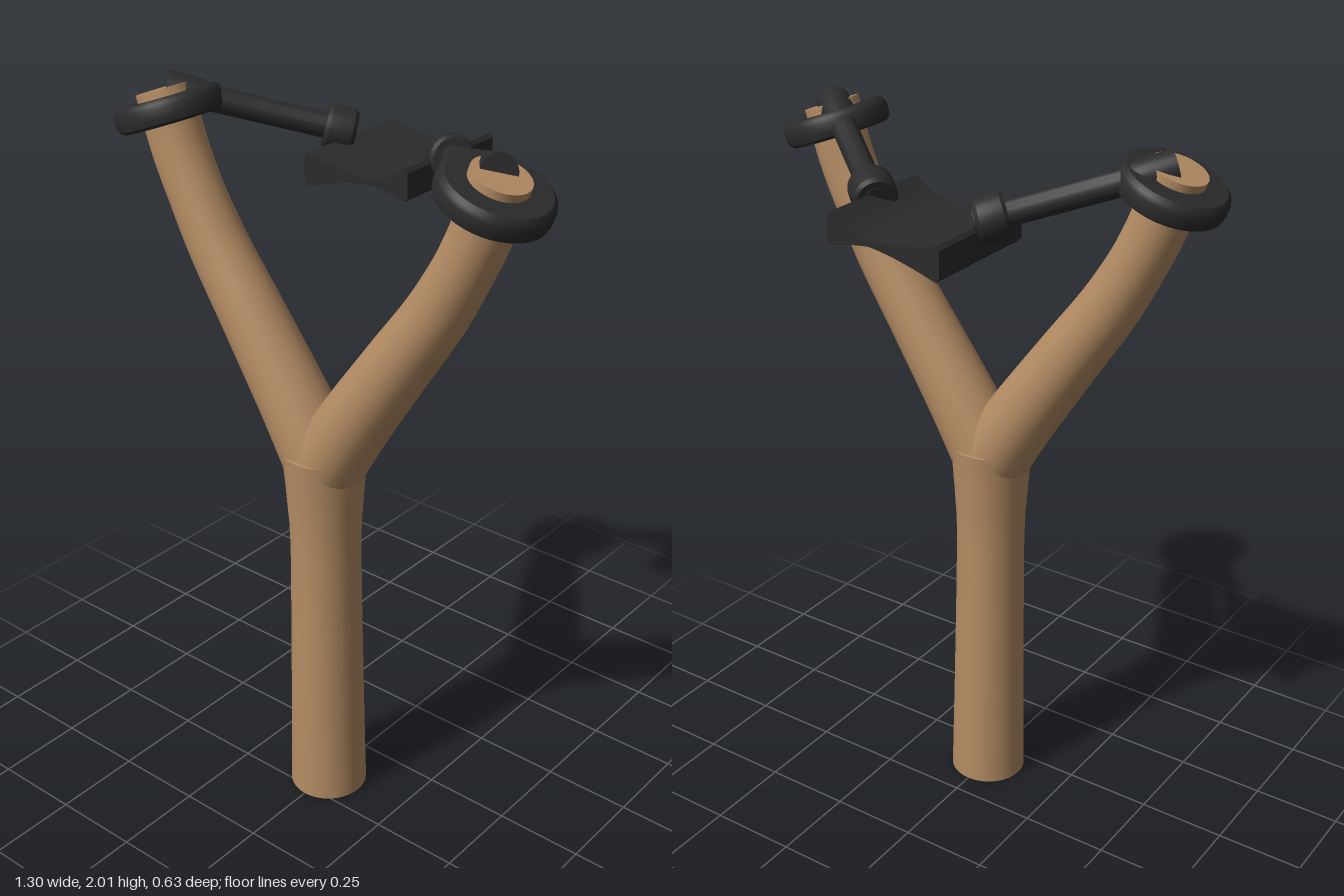
import * as THREE from 'three';
import { toCreasedNormals } from 'three/addons/utils/BufferGeometryUtils.js';

const wood = new THREE.MeshStandardMaterial({ color: 0xb48c64 });
const rubber = new THREE.MeshStandardMaterial({ color: 0x2b2b2b });
const Z = 0.17; // depth of the wooden fork
const V = (x, y, z) => new THREE.Vector3(x, y, z);

function mesh(name, geometry, material) {
  const m = new THREE.Mesh(geometry, material);
  m.name = name;
  return m;
}

// Turned part with crisp rims, from [radius, height] pairs
function turned(profile, segments = 40) {
  const g = new THREE.LatheGeometry(profile.map(([r, y]) => new THREE.Vector2(r, y)), segments);
  return toCreasedNormals(g, 0.6);
}

// Point a part's y axis along a direction
function aim(m, position, direction) {
  m.position.copy(position);
  m.quaternion.setFromUnitVectors(V(0, 1, 0), direction.clone().normalize());
  return m;
}

// Curved fork arm: a tube whose rings shrink towards the tip
function armGeometry(curve) {
  const rows = 40, sides = 32;
  const g = new THREE.TubeGeometry(curve, rows, 1, sides, false);
  const p = g.attributes.position, v = new THREE.Vector3();
  for (let i = 0; i <= rows; i++) {
    const t = i / rows, c = curve.getPointAt(t);
    const r = THREE.MathUtils.lerp(0.104, 0.075, Math.min(1, t / 0.75));
    for (let j = 0; j <= sides; j++) {
      const k = i * (sides + 1) + j;
      v.fromBufferAttribute(p, k).sub(c).multiplyScalar(r).add(c);
      p.setXYZ(k, v.x, v.y, v.z);
    }
  }
  return g;
}

// One arm with its collar, band and cuffs; s is +1 for left, -1 for right
function side(s) {
  const group = new THREE.Group();
  group.name = s > 0 ? 'leftSide' : 'rightSide';

  const points = [[0, 1.04], [0.1, 1.2], [0.235, 1.4], [0.37, 1.6], [0.472, 1.8], [0.522, 1.95]];
  const curve = new THREE.CatmullRomCurve3(points.map(([x, y]) => V(s * x, y, Z)));
  const up = V(s * 0.35, 0.937, 0);
  group.add(mesh('arm', armGeometry(curve), wood));

  // Wooden tip showing through the collar
  const tip = turned([[0, -0.05], [0.075, -0.05], [0.075, 0.012], [0, 0.012]]);
  group.add(aim(mesh('armTip', tip, wood), V(s * 0.522, 1.95, Z), up));

  // Thick rubber ring around the tip
  const collar = turned([
    [0.07, -0.033], [0.13, -0.033], [0.14, -0.026], [0.144, -0.012], [0.144, 0.012],
    [0.14, 0.024], [0.13, 0.033], [0.07, 0.033], [0.07, -0.033],
  ]);
  group.add(aim(mesh('collar', collar, rubber), V(s * 0.51, 1.91, Z), up));

  // Elastic band, flared where it is tied to the tip
  const start = V(s * 0.518, 1.963, 0.168), end = V(s * 0.145, 1.843, -0.14);
  const along = end.clone().sub(start), len = along.length();
  const band = turned([
    [0, 0], [0.046, 0], [0.046, 0.05], [0.042, 0.09], [0.034, 0.13], [0.033, len], [0, len],
  ], 24);
  group.add(aim(mesh('band', band, rubber), start, along));

  // Cuff joining band and pouch
  const cuff = turned([
    [0, -0.04], [0.05, -0.04], [0.058, -0.03], [0.06, 0], [0.058, 0.03], [0.05, 0.04], [0, 0.04],
  ], 24);
  group.add(aim(mesh('cuff', cuff, rubber), start.clone().lerp(end, 0.915), along));
  return group;
}

export function createModel() {
  const model = new THREE.Group();
  model.name = 'slingshot';

  // Handle, waisted and flaring to the fork
  const handle = mesh('handle', turned([
    [0, 0], [0.109, 0], [0.104, 0.25], [0.099, 0.55], [0.096, 0.8], [0.098, 0.87],
    [0.106, 0.99], [0.114, 1.09], [0, 1.09],
  ], 48), wood);
  handle.position.z = Z;
  model.add(handle, side(1), side(-1));

  // Pouch: pinched in the middle, thicker at both ends
  const outline = new THREE.Shape();
  outline.moveTo(-0.165, 1.755);
  outline.lineTo(-0.155, 1.745);
  outline.quadraticCurveTo(-0.04, 1.785, 0.04, 1.794);
  outline.quadraticCurveTo(0.1, 1.79, 0.155, 1.775);
  outline.lineTo(0.165, 1.785);
  outline.lineTo(0.165, 1.85);
  outline.lineTo(0.155, 1.86);
  outline.quadraticCurveTo(0.1, 1.815, 0.04, 1.807);
  outline.quadraticCurveTo(-0.06, 1.81, -0.155, 1.835);
  outline.lineTo(-0.165, 1.825);
  outline.closePath();
  const cloth = new THREE.ExtrudeGeometry(outline, { depth: 0.355, bevelEnabled: false, curveSegments: 10 });
  const pouch = mesh('pouch', toCreasedNormals(cloth, 0.5), rubber);
  pouch.position.z = -0.313;
  model.add(pouch);
  return model;
}
